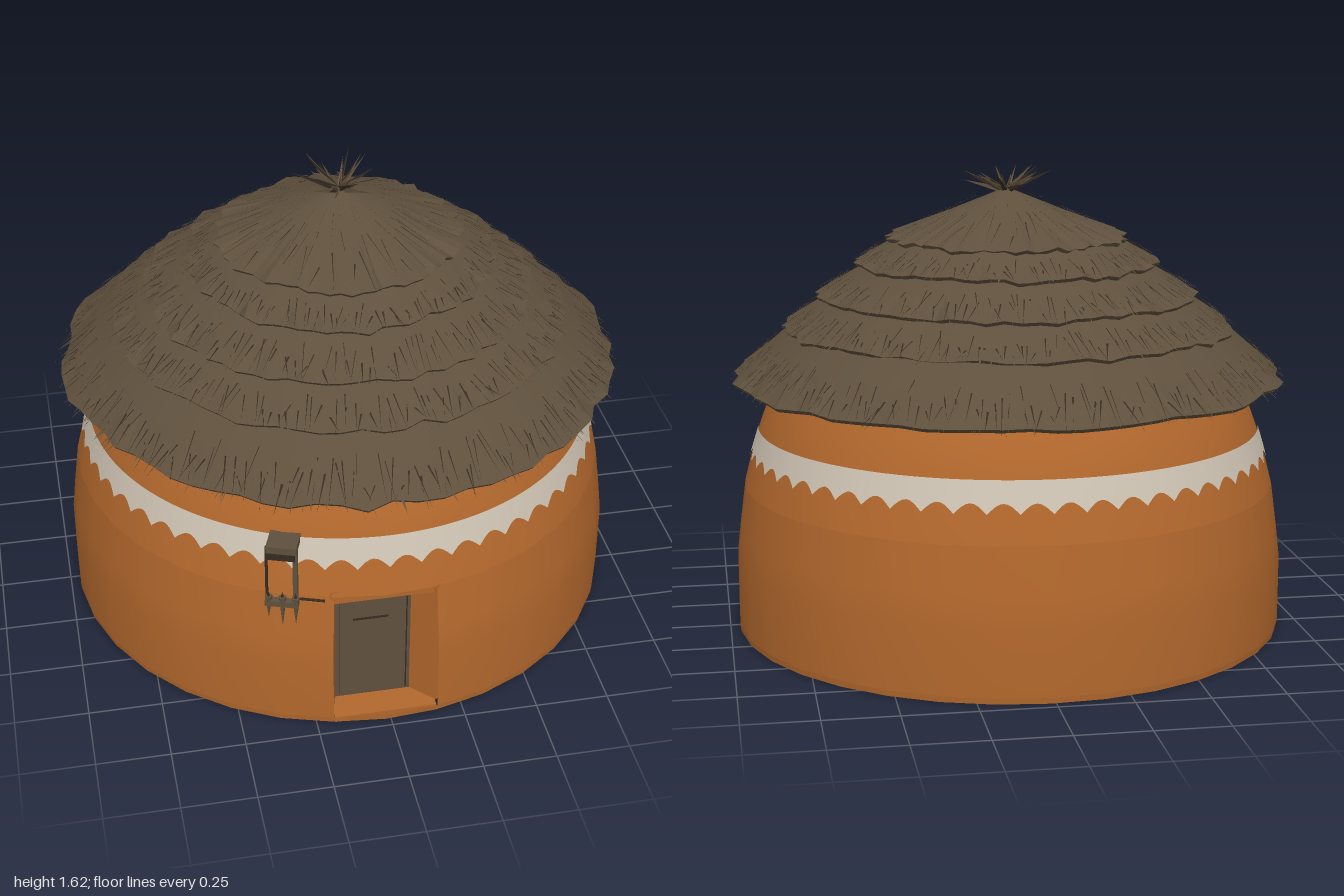
import * as THREE from 'three';

const SEG = 34, STEP = Math.PI * 2 / SEG;        // the doorway is two wall segments wide
const DOOR_START = -0.016 - STEP, DOOR_END = -0.016 + STEP;

// Small seeded random generator
let seed = 7;
const rnd = () => (seed = (seed * 16807) % 2147483647) / 2147483647;
const range = (a, b) => a + (b - a) * rnd();

// Wall profile as [radius, height]
const WALL = [[0.968, 0], [0.97, 0.02], [0.97, 0.25], [0.957, 0.36], [0.937, 0.51], [0.909, 0.62],
  [0.878, 0.72], [0.845, 0.81], [0.81, 0.88], [0.77, 0.96]];
function wallRadius(y) {
  const i = Math.max(1, WALL.findIndex(p => p[1] >= y));
  const [r0, y0] = WALL[i - 1], [r1, y1] = WALL[i];
  return r0 + (r1 - r0) * (y - y0) / (y1 - y0);
}
const wallPoints = (from, to) => WALL.slice(from, to).map(p => new THREE.Vector2(...p));

// Roof tiers: eave radius and height, upper radius and height
const TIERS = [
  [0.965, 0.875, 0.74, 1.085], [0.79, 1.05, 0.60, 1.19], [0.67, 1.16, 0.46, 1.295],
  [0.53, 1.27, 0.36, 1.385], [0.42, 1.355, 0.005, 1.54],
];

function pointOnTier(k, t, a, lift) {
  const [r, y, rt, yt] = TIERS[k];
  const rad = rt + (r - rt) * t + lift * 0.5;
  return [Math.sin(a) * rad, yt + (y - yt) * t + lift, Math.cos(a) * rad];
}

// Thatch layer with an uneven eave and a sloping underside
function tierGeometry(k) {
  const [r, y, rt, yt] = TIERS[k], n = 72;
  const pts = [[r - 0.13, y + 0.05], [r - 0.01, y], [r, y + 0.012],
    [(r + rt) / 2, (y + yt) / 2 + 0.008], [rt, yt]];
  const geo = new THREE.LatheGeometry(pts.map(p => new THREE.Vector2(...p)), n);
  const jitter = Array.from({ length: n }, () => [range(-0.018, 0.014), range(-0.004, 0.012)]);
  const pos = geo.attributes.position;
  for (let i = 0; i < pos.count; i++) {
    const row = i % pts.length, [dr, dy] = jitter[Math.floor(i / pts.length) % n];
    if (row !== 1 && row !== 2) continue;
    const s = 1 + dr / r;
    pos.setXYZ(i, pos.getX(i) * s, pos.getY(i) + dy, pos.getZ(i) * s);
  }
  geo.computeVertexNormals();
  return geo;
}

function triangles(positions) {
  const geo = new THREE.BufferGeometry();
  geo.setAttribute('position', new THREE.Float32BufferAttribute(positions, 3));
  geo.computeVertexNormals();
  return geo;
}

// Loose straws lying on a tier and poking past its eave
function strawGeometry(k, count, dark) {
  const out = [], r = TIERS[k][0], top = k === TIERS.length - 1;
  for (let i = 0; i < count; i++) {
    const a = (i + rnd()) / count * Math.PI * 2;
    const w = (dark ? range(0.003, 0.006) : range(0.007, 0.014)) / r;
    const root = top && i % 2 ? range(0.03, 0.5) : range(0.4, 0.8);
    const tip = top && i % 2 ? root + range(0.2, 0.45) : range(0.9, top ? 1.05 : 1.1);
    const lean = range(-0.035, 0.035) / r, lift = range(0.012, 0.02);
    out.push(...pointOnTier(k, root, a - w * root, lift), ...pointOnTier(k, tip, a + lean, lift),
      ...pointOnTier(k, root, a + w * root, lift));
  }
  return triangles(out);
}

// Tuft of straws at the peak
function tuftGeometry(count) {
  const out = [];
  for (let i = 0; i < count; i++) {
    const a = (i + rnd()) / count * Math.PI * 2, len = range(0.07, 0.17), h = range(0.03, 0.085);
    const c = Math.cos(a), s = Math.sin(a), w = 0.009;
    out.push(-c * w, 1.52, s * w, c * w, 1.52, -s * w, s * len, 1.535 + h, c * len);
    out.push(0, 1.515, 0, 0, 1.54, 0, s * len, 1.535 + h, c * len);
  }
  return triangles(out);
}

// Painted band with a scalloped lower edge
function bandGeometry() {
  const scallops = 54, per = 8, n = scallops * per;
  const geo = new THREE.CylinderGeometry(1, 1, 1, n, 2, true);
  const pos = geo.attributes.position;
  for (let i = 0; i < pos.count; i++) {
    const col = i % (n + 1), row = Math.floor(i / (n + 1));
    const low = 0.607 + 0.034 * Math.abs(Math.sin(Math.PI * col / per));
    const y = [0.712, 0.66, low][row], r = wallRadius(y) + 0.004;
    pos.setXYZ(i, pos.getX(i) * r, y, pos.getZ(i) * r);
  }
  geo.computeVertexNormals();
  return geo;
}

// Upright prism from a plan outline of [x, z] points
function prism(outline, y0, y1) {
  const shape = new THREE.Shape(outline.map(([x, z]) => new THREE.Vector2(x, -z)));
  return new THREE.ExtrudeGeometry(shape, { depth: y1 - y0, bevelEnabled: false })
    .rotateX(-Math.PI / 2).translate(0, y0, 0);
}

export function createModel() {
  const model = new THREE.Group();
  const material = (name, color, extra = {}) => {
    const m = new THREE.MeshStandardMaterial({ color, ...extra });
    m.name = name;
    return m;
  };
  const clay = material('clay', 0xb3682d);
  const paint = material('white paint', 0xcfc4b4);
  const thatch = material('thatch', 0x5f503d, { side: THREE.DoubleSide, flatShading: true });
  const straw = material('dark straw', 0x352b20, { side: THREE.DoubleSide, flatShading: true });
  const add = (name, geo, mat, parent = model) => {
    const mesh = new THREE.Mesh(geo, mat);
    mesh.name = name;
    parent.add(mesh);
    return mesh;
  };
  const box = (name, x0, x1, y0, y1, z0, z1, mat, parent) => add(name,
    new THREE.BoxGeometry(x1 - x0, y1 - y0, z1 - z0)
      .translate((x0 + x1) / 2, (y0 + y1) / 2, (z0 + z1) / 2), mat, parent);

  // Clay wall, left open at the doorway
  add('floor', new THREE.LatheGeometry([new THREE.Vector2(0, 0), new THREE.Vector2(0.968, 0)], SEG, DOOR_START), clay);
  add('wallFoot', new THREE.LatheGeometry(wallPoints(0, 2), SEG, DOOR_START), clay);
  add('lowerWall', new THREE.LatheGeometry(wallPoints(1, 5), SEG - 2, DOOR_END, Math.PI * 2 - 2 * STEP), clay);
  add('upperWall', new THREE.LatheGeometry(wallPoints(4, 10), SEG, DOOR_START), clay);
  add('paintedBand', bandGeometry(), paint);

  // Recessed doorway
  const door = new THREE.Group();
  door.name = 'doorway';
  model.add(door);
  add('leftSideJamb', prism([[0.159, 0.925], [0.2, 0.9], [0.2, 0.8], [0.075, 0.8], [0.085, 0.85]], 0.015, 0.515), clay, door);
  add('rightSideJamb', prism([[-0.188, 0.92], [-0.23, 0.9], [-0.23, 0.8], [-0.165, 0.8], [-0.17, 0.85]], 0.015, 0.515), clay, door);
  box('lintel', -0.2, 0.18, 0.48, 0.53, 0.8, 0.915, clay, door);
  box('sill', -0.19, 0.16, 0.004, 0.024, 0.8, 0.955, clay, door);
  box('doorPanel', -0.175, 0.095, 0.02, 0.485, 0.82, 0.852, thatch, door);
  box('doorPlank', -0.155, 0.07, 0.035, 0.47, 0.85, 0.859, thatch, door);
  box('doorSlit', -0.11, 0.01, 0.355, 0.362, 0.858, 0.862, straw, door);
  box('plankGap', 0.07, 0.075, 0.035, 0.47, 0.85, 0.858, straw, door);

  // Hanging charm beside the door
  const charm = new THREE.Group();
  charm.name = 'hangingCharm';
  charm.position.set(-0.345, 0, 0.868);
  charm.rotation.y = -0.34;
  model.add(charm);
  box('charmPeg', -0.05, 0.05, 0.695, 0.72, -0.07, 0.03, thatch, charm);
  box('charmWrap', -0.046, 0.044, 0.665, 0.7, 0.005, 0.025, straw, charm);
  box('rightCord', -0.055, -0.047, 0.49, 0.71, 0.01, 0.02, straw, charm);
  box('leftCord', 0.036, 0.052, 0.49, 0.71, 0.008, 0.022, thatch, charm);
  box('charmBar', -0.055, 0.055, 0.484, 0.505, 0.012, 0.036, thatch, charm);
  box('charmStick', 0.05, 0.14, 0.508, 0.513, 0.012, 0.02, straw, charm);
  for (const [x, len] of [[-0.044, 0.09], [0.002, 0.12], [0.046, 0.11]]) {
    const feather = add('feather', new THREE.ConeGeometry(0.014, len, 5), thatch, charm);
    feather.rotation.x = Math.PI;
    feather.position.set(x, 0.52 - len / 2, 0.026);
    const tie = add('featherTie', new THREE.ConeGeometry(0.011, 0.04, 5), straw, charm);
    tie.position.set(x, 0.52, 0.026);
  }

  // Layered thatched roof
  const roof = new THREE.Group();
  roof.name = 'roof';
  model.add(roof);
  TIERS.forEach(([r], k) => {
    const tier = new THREE.Group();
    tier.name = 'thatchTier' + (k + 1);
    tier.position.z = k * 0.008;
    roof.add(tier);
    add('thatchLayer', tierGeometry(k), thatch, tier);
    add('strawFringe', strawGeometry(k, Math.round(330 * r), false), thatch, tier);
    add('darkStraws', strawGeometry(k, Math.round(260 * r), true), straw, tier);
  });
  const tuft = new THREE.Group();
  tuft.name = 'peakTuft';
  tuft.position.z = 0.032;
  roof.add(tuft);
  add('tuftStraws', tuftGeometry(16), thatch, tuft);
  add('darkTuftStraws', tuftGeometry(12), straw, tuft);
  return model;
}
